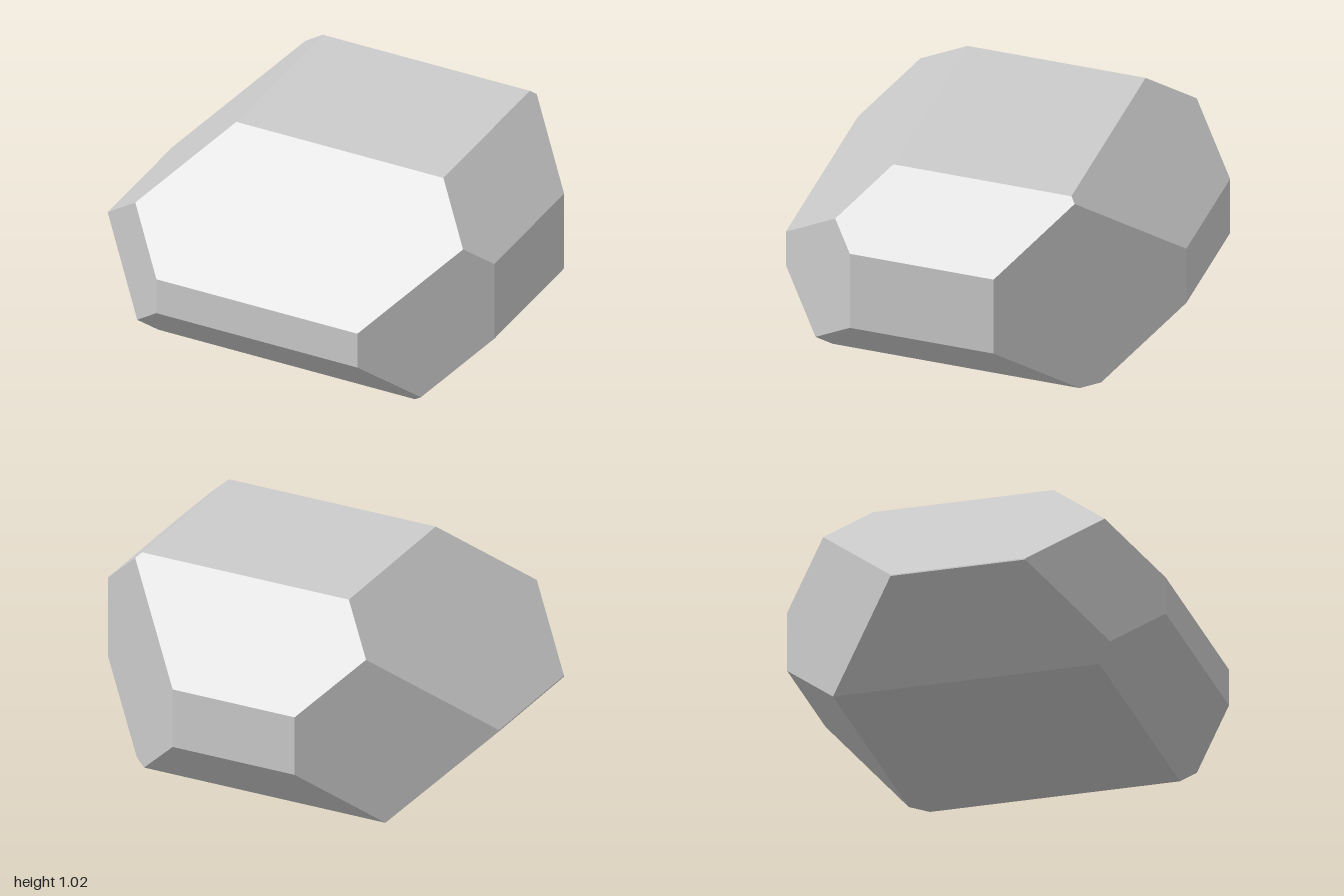
import * as THREE from 'three';

// Faceted stone: a block whose twelve edges are bevelled at 45 degrees.
// Each facet is a half-space [nx, ny, nz, d] with nx*x + ny*y + nz*z <= d.
const FACETS = [
  // block sides
  [1, 0, 0, 1], [-1, 0, 0, 1],
  [0, 1, 0, 1.018], [0, -1, 0, 0],
  [0, 0, 1, 0.917], [0, 0, -1, 0.92],
  // left and right bevels, upper then lower
  [1, 1, 0, 1.705], [-1, 1, 0, 1.388],
  [1, -1, 0, 0.692], [-1, -1, 0, 0.618],
  // front and back bevels, upper then lower
  [0, 1, 1, 1.372], [0, 1, -1, 1.515],
  [0, -1, 1, 0.642], [0, -1, -1, 0.615],
  // upright corner bevels
  [1, 0, 1, 1.457], [-1, 0, 1, 1.403],
  [1, 0, -1, 1.23], [-1, 0, -1, 1.233],
].map(([x, y, z, d]) => new THREE.Plane(new THREE.Vector3(x, y, z), -d).normalize());

// Cut a polygon, keeping the part behind the plane
function clip(polygon, plane) {
  const kept = [];
  polygon.forEach((a, i) => {
    const b = polygon[(i + 1) % polygon.length];
    const da = plane.distanceToPoint(a), db = plane.distanceToPoint(b);
    if (da <= 1e-7) kept.push(a);
    if ((da < -1e-7 && db > 1e-7) || (da > 1e-7 && db < -1e-7)) {
      kept.push(a.clone().lerp(b, da / (da - db)));
    }
  });
  return kept;
}

// A large square lying in the facet's plane, trimmed by every other facet
function facetPolygon(plane) {
  const n = plane.normal;
  const helper = Math.abs(n.y) > 0.9 ? new THREE.Vector3(1, 0, 0) : new THREE.Vector3(0, 1, 0);
  const u = helper.cross(n).normalize();
  const v = n.clone().cross(u);
  const centre = plane.coplanarPoint(new THREE.Vector3());
  const square = [[-5, -5], [5, -5], [5, 5], [-5, 5]].map(([s, t]) =>
    centre.clone().addScaledVector(u, s).addScaledVector(v, t));
  return FACETS.filter((other) => other !== plane).reduce(clip, square);
}

export function createModel() {
  const positions = [], normals = [];
  for (const plane of FACETS) {
    const polygon = facetPolygon(plane);
    for (let i = 1; i < polygon.length - 1; i++) {
      for (const p of [polygon[0], polygon[i], polygon[i + 1]]) {
        positions.push(p.x, p.y, p.z);
        normals.push(plane.normal.x, plane.normal.y, plane.normal.z);
      }
    }
  }
  const geometry = new THREE.BufferGeometry();
  geometry.setAttribute('position', new THREE.Float32BufferAttribute(positions, 3));
  geometry.setAttribute('normal', new THREE.Float32BufferAttribute(normals, 3));

  const stone = new THREE.Mesh(geometry,
    new THREE.MeshStandardMaterial({ color: 0xcccccc, flatShading: true }));
  stone.name = 'stone';

  const group = new THREE.Group();
  group.name = 'facetedStone';
  group.add(stone);
  return group;
}
